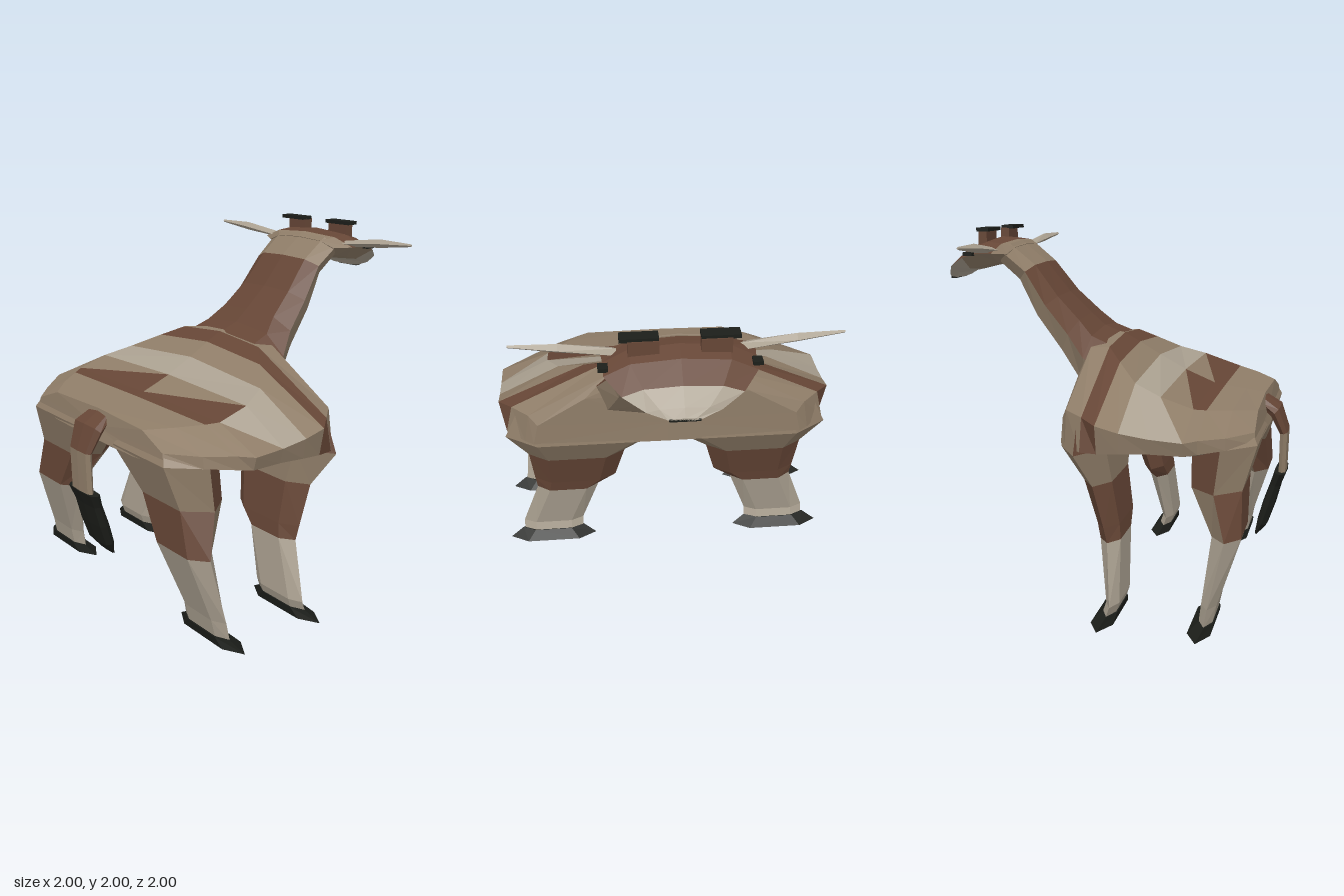
import * as THREE from 'three';

const TAN = 0x8f7d68, CREAM = 0xaaa090, BROWN = 0x664636, BLACK = 0x1c1e1a;
const materials = {};
const mat = (c) => (materials[c] ??= new THREE.MeshStandardMaterial({ color: c, flatShading: true }));

// Skins closed rings of points, caps both ends, and makes one mesh per colour.
// colour(i, j, t): band i along the part, side j around it, triangle t of the quad.
function loft(name, rings, colour) {
  const tris = [];
  const n = rings[0].length;
  const add = (c, a, b, d) => tris.push({ c, p: [a, b, d] });
  for (let i = 0; i < rings.length - 1; i++) {
    for (let j = 0; j < n; j++) {
      const k = (j + 1) % n;
      add(colour(i, j, 0), rings[i][j], rings[i][k], rings[i + 1][k]);
      add(colour(i, j, 1), rings[i][j], rings[i + 1][k], rings[i + 1][j]);
    }
  }
  for (const [ring, band, flip] of [[rings[0], 0, true], [rings.at(-1), rings.length - 2, false]]) {
    const mid = [0, 1, 2].map((q) => ring.reduce((s, p) => s + p[q], 0) / n);
    for (let j = 0; j < n; j++) {
      const a = ring[j], b = ring[(j + 1) % n], c = colour(band, j, 0);
      flip ? add(c, b, a, mid) : add(c, a, b, mid);
    }
  }
  // turn the faces outward
  let volume = 0;
  for (const { p } of tris) {
    const [a, b, c] = p.map((q) => new THREE.Vector3(...q));
    volume += a.dot(b.cross(c));
  }
  const group = new THREE.Group();
  group.name = name;
  for (const c of new Set(tris.map((t) => t.c))) {
    const pos = tris.filter((t) => t.c === c).flatMap(({ p }) => (volume < 0 ? [p[0], p[2], p[1]] : p).flat());
    const geo = new THREE.BufferGeometry();
    geo.setAttribute('position', new THREE.Float32BufferAttribute(pos, 3));
    geo.computeVertexNormals();
    const mesh = new THREE.Mesh(geo, mat(c));
    mesh.name = name + 'Patch';
    group.add(mesh);
  }
  return group;
}

// Completes a half ring (top centre to bottom centre) with its mirror in z.
const mirrorRing = (half) => [...half, ...half.slice(1, -1).reverse().map(([x, y, z]) => [x, y, -z])];

// Slanted section from a top point to a bottom point, with a half width.
const slice = (profile) => ([ax, ay, bx, by, w]) =>
  mirrorRing(profile.map(([t, k]) => [ax + (bx - ax) * t, ay + (by - ay) * t, w * k]));

// Six-sided leg section, pointed at its inner and outer ends.
const legRing = (s) => ([y, x0, x1, z0, z1]) => {
  const xm = (x0 + x1) / 2, w = (z1 - z0) * 0.3, zm = (z0 + z1) / 2;
  return [[xm, z0], [x1, zm - w], [x1, zm + w], [xm, z1], [x0, zm + w], [x0, zm - w]].map(([x, z]) => [x, y, z * s]);
};

const diamondRing = (x0, x1, y0, y1, z) => [[x0, (y0 + y1) / 2, z], [(x0 + x1) / 2, y1, z], [x1, (y0 + y1) / 2, z], [(x0 + x1) / 2, y0, z]];

export function createModel() {
  const model = new THREE.Group();
  model.name = 'longNeckedAnimal';

  // Body: x at top and bottom, y of six half-ring points, z of the four off-centre ones
  const body = [
    [-0.86, -0.9, [1.09, 1.08, 1.01, 0.95, 0.93, 0.93], [0.44, 0.63, 0.65, 0.4]],
    [-0.75, -0.75, [1.105, 1.1, 1.01, 0.95, 0.83, 0.83], [0.56, 0.79, 0.8, 0.3]],
    [-0.63, -0.63, [1.12, 1.115, 1.02, 0.95, 0.77, 0.77], [0.65, 0.91, 0.91, 0.22]],
    [-0.57, -0.57, [1.13, 1.125, 1.02, 0.95, 0.77, 0.76], [0.69, 0.98, 0.96, 0.22]],
    [-0.4, -0.4, [1.2, 1.18, 1.03, 0.95, 0.76, 0.75], [0.69, 0.98, 0.96, 0.22]],
    [-0.25, -0.25, [1.28, 1.23, 1.05, 0.94, 0.76, 0.75], [0.62, 0.98, 0.96, 0.22]],
    [-0.13, -0.13, [1.35, 1.31, 1.08, 0.93, 0.78, 0.77], [0.47, 0.98, 0.95, 0.2]],
    [-0.04, -0.04, [1.4, 1.37, 1.1, 0.93, 0.88, 0.88], [0.35, 0.9, 0.94, 0.2]],
    [0.07, 0.07, [1.42, 1.36, 1.11, 0.93, 0.9, 0.9], [0.34, 0.8, 0.83, 0.2]],
    [0.1, 0.11, [1.23, 1.23, 1.06, 0.93, 0.91, 0.91], [0.47, 0.75, 0.78, 0.2]],
  ].map(([xt, xb, ys, zs]) => mirrorRing(ys.map((y, k) => [xt + (xb - xt) * k / 5, y, [0, ...zs, 0][k]])));
  model.add(loft('body', body, (i, j, t) => {
    const h = Math.min(j, 9 - j);
    if (h >= 3) return i >= 3 && i <= 5 ? BROWN : TAN;
    if (i === 6 || (i === 2 && h === 0) || (i === 3 && h === 0 && t === 0)) return BROWN;
    return (i === 4 && h < 2) || (i === 3 && h === 1 && t === 1) ? CREAM : TAN;
  }));

  // Neck
  const quarter = (j) => Math.min(j, 7 - j);
  const neckSlice = slice([[0, 0], [0.08, 0.68], [0.4, 1], [0.85, 0.85], [1, 0]]);
  const neck = [
    [-0.05, 1.39, 0.1, 1.08, 0.42], [0.08, 1.44, 0.125, 1.11, 0.4], [0.16, 1.51, 0.27, 1.3, 0.335],
    [0.29, 1.63, 0.43, 1.5, 0.295], [0.43, 1.8, 0.53, 1.7, 0.27], [0.58, 1.92, 0.63, 1.79, 0.28],
  ].map(neckSlice);
  model.add(loft('neck', neck, (i, j) => (quarter(j) < 2 && i < 4 ? BROWN : TAN)));

  // Head
  const headSlice = slice([[0, 0], [0.1, 0.65], [0.45, 1], [0.9, 0.6], [1, 0]]);
  const head = [
    [0.55, 1.9, 0.6, 1.8, 0.28], [0.61, 1.925, 0.65, 1.79, 0.38], [0.7, 1.94, 0.74, 1.77, 0.37],
    [0.79, 1.91, 0.82, 1.75, 0.37], [0.9, 1.83, 0.91, 1.73, 0.29], [0.97, 1.755, 0.95, 1.7, 0.18],
    [1, 1.715, 1, 1.7, 0.08],
  ].map(headSlice);
  model.add(loft('head', head, (i, j) => (quarter(j) < 2 && i > 0 && i < 4 ? BROWN : i > 2 ? CREAM : TAN)));
  const mouth = new THREE.Mesh(new THREE.BoxGeometry(0.03, 0.016, 0.15), mat(BLACK));
  mouth.name = 'mouth';
  mouth.position.set(0.985, 1.704, 0);
  model.add(mouth);

  // Tail and its tuft
  const tailSlice = slice([[0, 0], [0.1, 0.8], [0.5, 1], [0.9, 0.8], [1, 0]]);
  model.add(loft('tail', [
    [-0.84, 1.09, -0.86, 1.0, 0.1], [-0.95, 1.02, -0.9, 0.97, 0.13],
    [-1, 0.88, -0.95, 0.87, 0.1], [-0.995, 0.64, -0.95, 0.64, 0.1],
  ].map(tailSlice), (i) => (i < 2 ? BROWN : TAN)));
  model.add(loft('tailTuft', [
    [-1, 0.65, -0.93, 0.65, 0.145], [-0.97, 0.57, -0.91, 0.58, 0.125], [-0.94, 0.45, -0.87, 0.46, 0.125],
    [-0.9, 0.33, -0.84, 0.35, 0.115], [-0.84, 0.26, -0.83, 0.28, 0.08],
  ].map(tailSlice), () => BLACK));

  // Paired parts
  for (const s of [1, -1]) {
    const side = s > 0 ? 'Left' : 'Right';
    const ring = legRing(s);
    // Legs: y, back and front x, inner and outer z
    model.add(loft('frontLeg' + side, [
      [0.04, -0.2, -0.13, 0.53, 0.91], [0.1, -0.22, -0.15, 0.53, 0.91], [0.41, -0.2, -0.09, 0.42, 0.8],
      [0.49, -0.19, -0.07, 0.31, 0.81], [0.72, -0.15, 0, 0.25, 0.83], [0.91, -0.13, 0.11, 0.01, 0.95],
      [1.08, -0.1, 0.08, 0.1, 0.87],
    ].map(ring), (i, j) => (i < 2 ? CREAM : i < 4 || (i === 5 && j > 2) ? BROWN : TAN)));
    model.add(loft('hindLeg' + side, [
      [0.04, -0.71, -0.64, 0.53, 0.91], [0.14, -0.73, -0.65, 0.53, 0.9], [0.49, -0.84, -0.69, 0.42, 0.87],
      [0.72, -0.83, -0.57, 0.26, 0.82], [0.95, -0.895, -0.56, 0.04, 0.82], [1.02, -0.86, -0.6, 0.15, 0.74],
    ].map(ring), (i, j) => (i < 2 ? CREAM : (i === 2 && j > 2) || (i === 3 && j < 3) ? BROWN : TAN)));

    // Hooves
    for (const [name, x] of [['frontHoof', 0], ['hindHoof', -0.51]]) {
      model.add(loft(name + side, [
        [0, -0.2 + x, -0.08 + x, 0.45, 1], [0.05, -0.21 + x, -0.13 + x, 0.53, 0.92],
      ].map(ring), () => BLACK));
    }

    // Ears
    model.add(loft('ear' + side, [
      diamondRing(0.61, 0.69, 1.862, 1.895, 0.3 * s), diamondRing(0.61, 0.67, 1.882, 1.93, 0.58 * s),
      diamondRing(0.62, 0.635, 1.912, 1.927, 0.82 * s),
    ], () => CREAM));

    // Horns and eyes
    for (const [name, c, size, pos] of [
      ['horn', BROWN, [0.05, 0.1, 0.15], [0.725, 1.935, 0.175]],
      ['hornCap', BLACK, [0.07, 0.02, 0.19], [0.71, 1.99, 0.195]],
      ['eye', BLACK, [0.055, 0.02, 0.05], [0.76, 1.86, 0.37]],
    ]) {
      const mesh = new THREE.Mesh(new THREE.BoxGeometry(...size), mat(c));
      mesh.name = name + side;
      mesh.position.set(pos[0], pos[1], pos[2] * s);
      model.add(mesh);
    }
  }
  return model;
}
